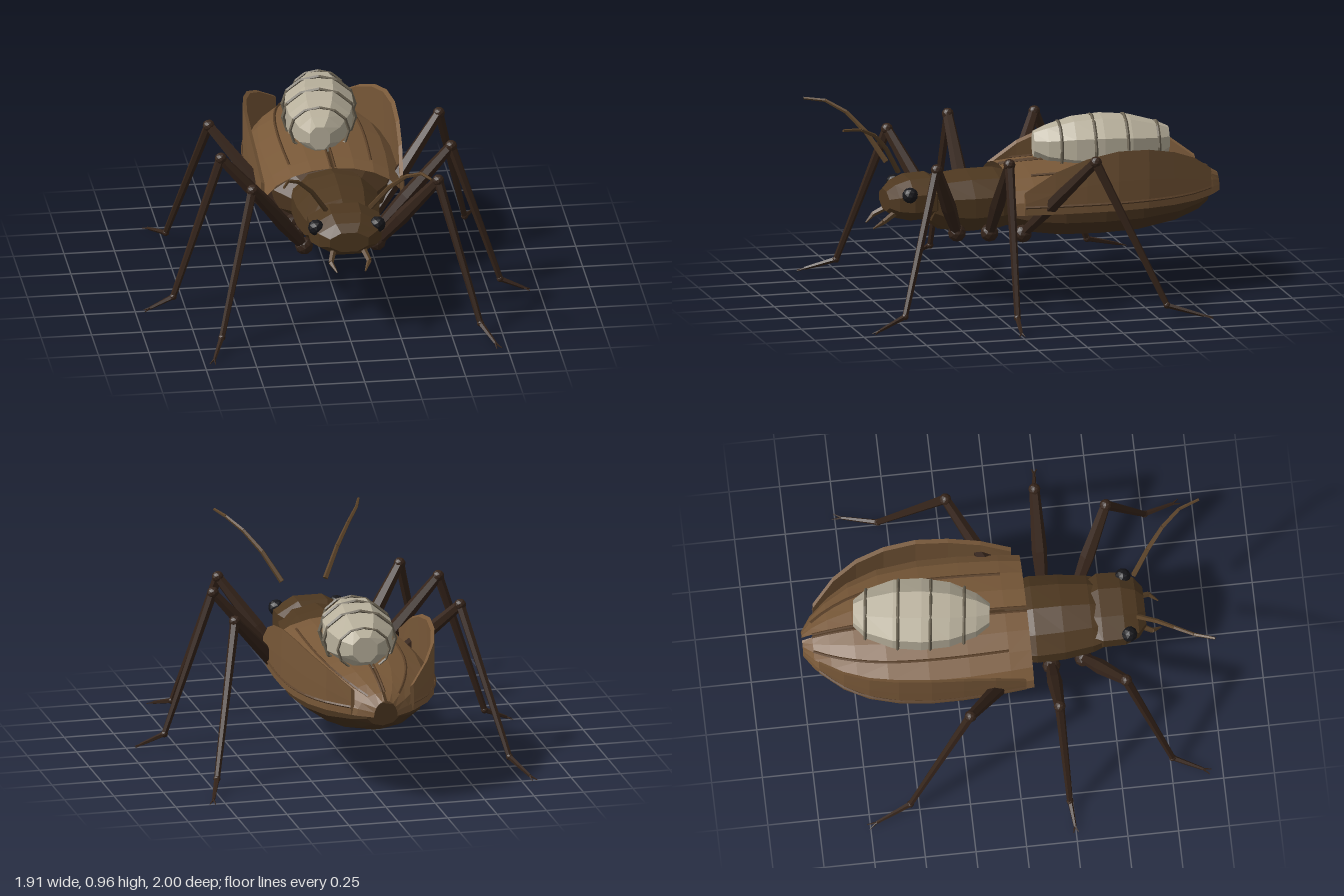
import * as THREE from 'three';

const V = (x, y, z) => new THREE.Vector3(x, y, z);
const mat = (color, side = THREE.FrontSide) =>
  new THREE.MeshStandardMaterial({ color, side, flatShading: true });
const shellMat = mat(0x785838, THREE.DoubleSide);
const bodyMat = mat(0x4e3820), bellyMat = mat(0x49341f), legMat = mat(0x35241a);
const feelerMat = mat(0x5a4228), ribMat = mat(0x5a4028), eyeMat = mat(0x16161a);
const cocoonMat = mat(0xb8b09c), cordMat = mat(0x6a6252);

function add(parent, name, geometry, material) {
  const m = new THREE.Mesh(geometry, material);
  m.name = name;
  parent.add(m);
  return m;
}

// Skin rows of points; stations run from front to back
function skin(rows, closed) {
  const pos = [], n = rows[0].length;
  const tri = (...p) => p.forEach(v => pos.push(v.x, v.y, v.z));
  for (let i = 0; i < rows.length - 1; i++) {
    for (let j = 0; j < (closed ? n : n - 1); j++) {
      const k = (j + 1) % n, A = rows[i], B = rows[i + 1];
      tri(A[j], B[j], A[k]);
      tri(A[k], B[j], B[k]);
    }
  }
  if (closed) {
    const F = rows[0], L = rows[rows.length - 1];
    for (let j = 1; j < n - 1; j++) {
      tri(F[0], F[j], F[j + 1]);
      tri(L[0], L[j + 1], L[j]);
    }
  }
  const g = new THREE.BufferGeometry();
  g.setAttribute('position', new THREE.Float32BufferAttribute(pos, 3));
  g.computeVertexNormals();
  return g;
}

// Closed body from stations [z, halfWidth, bottom, top]
const body = (stations, sides) => skin(stations.map(([z, w, lo, hi]) =>
  Array.from({ length: sides }, (_, j) => {
    const a = (j + 0.5) / sides * Math.PI * 2, k = 1 / Math.cos(Math.PI / sides);
    return V(w * k * Math.cos(a), (lo + hi) / 2 + (hi - lo) / 2 * k * Math.sin(a), z);
  })), true);

// Straight tapered limb between two points
function limb(parent, name, a, b, r0, r1, material, sides = 6) {
  const d = b.clone().sub(a);
  const m = add(parent, name, new THREE.CylinderGeometry(r1, r0, d.length(), sides), material);
  m.position.copy(a).addScaledVector(d, 0.5);
  m.quaternion.setFromUnitVectors(V(0, 1, 0), d.normalize());
  return m;
}

function ball(parent, name, p, r, material) {
  const m = add(parent, name, new THREE.IcosahedronGeometry(r, 1), material);
  m.position.copy(p);
  return m;
}

const tube = (points, r) => new THREE.TubeGeometry(new THREE.CatmullRomCurve3(points), 14, r, 4);

// Wing cover stations: [z, halfWidth, crest height]
const COVER = [[0.11, 0.345, 0.655], [0, 0.357, 0.665], [-0.2, 0.37, 0.67], [-0.4, 0.37, 0.67],
  [-0.6, 0.345, 0.66], [-0.75, 0.29, 0.64], [-0.87, 0.212, 0.61], [-0.95, 0.135, 0.58], [-1, 0.06, 0.55]];
const RIM = 0.47;
const coverPoint = ([z, w, h], a, s, lift = 0) =>
  V(s * Math.max(0.007, w * Math.cos(a)), RIM + (h - RIM) * Math.sin(a) + lift, z);

function buildWingCover(root, s) {
  const g = new THREE.Group();
  g.name = s > 0 ? 'leftWingCover' : 'rightWingCover';
  root.add(g);
  add(g, 'coverShell', skin(COVER.map(st =>
    Array.from({ length: 6 }, (_, j) => coverPoint(st, j / 5 * Math.PI / 2, s))), false), shellMat);

  // Upstanding side wall with a thick upper edge: [z, halfWidth, top]
  const wall = [[0.07, 0.352, 0.585], [-0.08, 0.367, 0.68], [-0.24, 0.375, 0.74], [-0.4, 0.375, 0.77],
    [-0.56, 0.356, 0.765], [-0.7, 0.318, 0.735], [-0.82, 0.255, 0.685], [-0.93, 0.158, 0.605]];
  add(g, 'sideWall', skin(wall.map(([z, w, t]) =>
    [V(s * w, RIM, z), V(s * (w + 0.002), (RIM + t) / 2, z), V(s * w, t, z),
      V(s * (w - 0.018), t - 0.012, z), V(s * (w - 0.014), RIM, z)]), true), shellMat);

  // Raised ribs
  add(g, 'upperRib', tube(COVER.slice(1, 8).map(st => coverPoint(st, 0.97, s, 0.004)), 0.007), ribMat);
  add(g, 'innerRib', tube(COVER.slice(0, 8).map(st => coverPoint(st, 1.54, s, 0.001)), 0.006), ribMat);
  add(g, 'rimRib', tube(wall.map(([z, w]) => V(s * (w + 0.001), 0.51, z)), 0.007), ribMat);
}

function buildLeg(root, name, s, points) {
  const g = new THREE.Group();
  g.name = name;
  root.add(g);
  const [hip, knee, ankle, tip] = points.map(([x, y, z]) => V(s * x, y, z));
  ball(g, 'hipJoint', hip, 0.045, legMat);
  // Thigh swells a third of the way out
  const swell = hip.clone().lerp(knee, 0.4);
  limb(g, 'innerThigh', hip, swell, 0.026, 0.038, legMat);
  limb(g, 'outerThigh', swell, knee, 0.038, 0.025, legMat);
  ball(g, 'knee', knee, 0.03, legMat);
  limb(g, 'shin', knee, ankle, 0.024, 0.015, legMat);
  ball(g, 'ankle', ankle, 0.018, legMat);
  const claw = ankle.clone().lerp(tip, 0.8);
  limb(g, 'foot', ankle, claw, 0.014, 0.008, legMat, 5);
  const dir = tip.clone().sub(ankle).normalize();
  const across = V(dir.z, 0, -dir.x).multiplyScalar(0.015);
  for (const k of [-1, 1])
    limb(g, 'claw', claw, tip.clone().addScaledVector(across, k), 0.006, 0.002, legMat, 4);
}

export function createModel() {
  const root = new THREE.Group();
  root.name = 'beetle';

  // Body segments
  add(root, 'abdomen', body([[0.09, 0.2, 0.36, 0.56], [0, 0.28, 0.325, 0.6], [-0.15, 0.32, 0.305, 0.62],
    [-0.35, 0.325, 0.3, 0.62], [-0.55, 0.3, 0.305, 0.61], [-0.75, 0.235, 0.335, 0.58],
    [-0.88, 0.15, 0.375, 0.55], [-0.94, 0.08, 0.41, 0.52]], 10), bellyMat);
  add(root, 'thorax', body([[0.48, 0.17, 0.4, 0.6], [0.42, 0.185, 0.355, 0.62], [0.28, 0.205, 0.335, 0.635],
    [0.14, 0.21, 0.345, 0.635], [0, 0.18, 0.38, 0.6]], 10), bodyMat);
  add(root, 'head', body([[0.69, 0.095, 0.46, 0.56], [0.65, 0.145, 0.43, 0.595],
    [0.58, 0.175, 0.415, 0.62], [0.47, 0.178, 0.42, 0.625], [0.42, 0.15, 0.44, 0.6]], 8), bodyMat);

  const legs = {
    Front: [[0.18, 0.365, 0.37], [0.46, 0.755, 0.55], [0.64, 0.07, 0.76], [0.71, 0.008, 0.94]],
    Middle: [[0.2, 0.36, 0.21], [0.57, 0.785, 0.21], [0.81, 0.07, 0.235], [0.955, 0.008, 0.25]],
    Back: [[0.2, 0.345, 0.04], [0.57, 0.77, -0.23], [0.74, 0.07, -0.545], [0.815, 0.008, -0.76]],
  };
  for (const s of [1, -1]) {
    const side = s > 0 ? 'left' : 'right';
    buildWingCover(root, s);
    for (const [key, pts] of Object.entries(legs)) buildLeg(root, side + key + 'Leg', s, pts);

    ball(root, side + 'Eye', V(s * 0.152, 0.56, 0.6), 0.04, eyeMat);

    // Feeler of tapering segments
    const feeler = new THREE.Group();
    feeler.name = side + 'Feeler';
    root.add(feeler);
    const f = [[0.11, 0.675, 0.65], [0.19, 0.81, 0.73], [0.265, 0.9, 0.81], [0.33, 0.95, 0.9], [0.365, 0.96, 1]]
      .map(([x, y, z]) => V(s * x, y, z));
    for (let i = 0; i < 4; i++)
      limb(feeler, 'feelerSegment', f[i], f[i + 1], 0.014 - i * 0.0018, 0.0122 - i * 0.0018, feelerMat, 5);

    // Hooked jaw
    const j = [V(s * 0.075, 0.455, 0.66), V(s * 0.095, 0.42, 0.72), V(s * 0.07, 0.385, 0.765)];
    limb(root, side + 'JawBase', j[0], j[1], 0.016, 0.013, feelerMat, 5);
    limb(root, side + 'JawTip', j[1], j[2], 0.013, 0.004, feelerMat, 5);
  }

  // Bundle tied on the back
  const load = new THREE.Group();
  load.name = 'bundle';
  load.position.set(0, 0.725, -0.41);
  load.rotation.y = -0.12;
  root.add(load);
  add(load, 'cocoon', body([[0.335, 0.05, -0.05, 0.07], [0.27, 0.1, -0.09, 0.095], [0.14, 0.15, -0.12, 0.13],
    [0, 0.168, -0.13, 0.142], [-0.14, 0.16, -0.12, 0.132], [-0.27, 0.115, -0.09, 0.1],
    [-0.335, 0.06, -0.05, 0.075]], 8), cocoonMat);
  for (const [z, rx, ry] of [[0.21, 0.145, 0.122], [0.045, 0.178, 0.148], [-0.115, 0.178, 0.146], [-0.275, 0.128, 0.108]]) {
    const cord = add(load, 'cord', new THREE.TorusGeometry(1, 0.055, 4, 12), cordMat);
    cord.scale.set(rx, ry, 0.15);
    cord.position.z = z;
  }
  return root;
}
